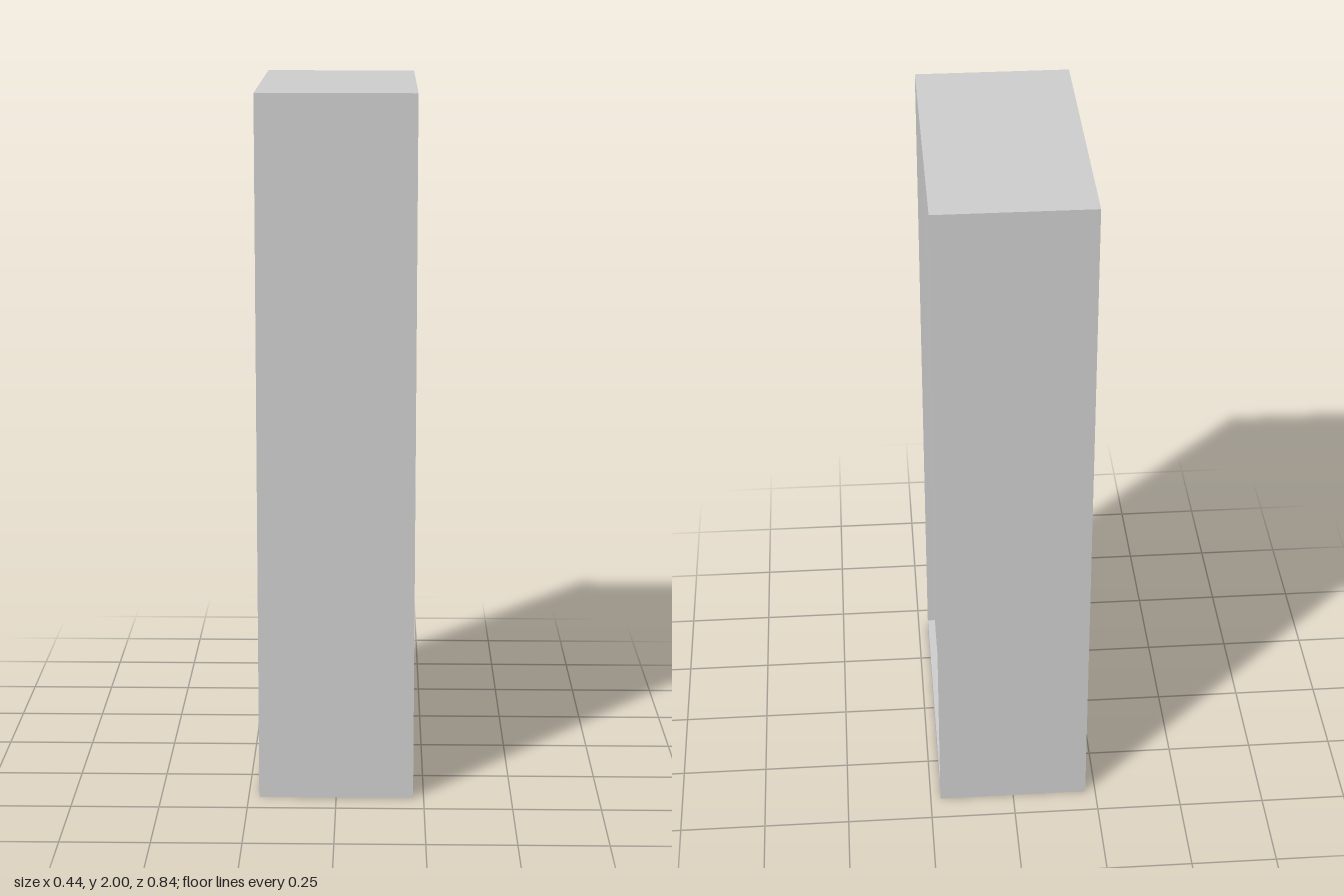
import * as THREE from 'three';

const W = 0.44, H = 2, D = 0.84;      // cabinet width (x), height, depth (z)
const BACK = 0.16, FACE = 0.198;      // x of the cabinet core face and of the door face
const material = new THREE.MeshStandardMaterial({ color: 0xcccccc });

// Closed rectangle in the door plane; u runs toward -z
function rect(Kind, u0, u1, y0, y1) {
  const s = new Kind();
  s.moveTo(u0, y0).lineTo(u1, y0).lineTo(u1, y1).lineTo(u0, y1).closePath();
  return s;
}

// Horizontal slot with rounded ends
function slot(halfLength, y, r) {
  const s = new THREE.Path();
  const c = halfLength - r;
  s.moveTo(-c, y - r).lineTo(c, y - r);
  s.absarc(c, y, r, -Math.PI / 2, Math.PI / 2, false);
  s.lineTo(-c, y + r);
  s.absarc(-c, y, r, Math.PI / 2, Math.PI * 1.5, false);
  return s;
}

// Extrude a door-plane shape from x0 to x1
function panel(name, shape, x0, x1) {
  const g = new THREE.ExtrudeGeometry(shape, { depth: x1 - x0, bevelEnabled: false, curveSegments: 6 });
  g.rotateY(Math.PI / 2).translate(x0, 0, 0);
  const m = new THREE.Mesh(g, material);
  m.name = name;
  return m;
}

export function createModel() {
  const group = new THREE.Group();
  group.name = 'locker';

  // Solid cabinet behind the door
  const coreWidth = BACK + W / 2;
  const body = new THREE.Mesh(new THREE.BoxGeometry(coreWidth, H, D), material);
  body.position.set(-W / 2 + coreWidth / 2, H / 2, 0);
  body.name = 'cabinet';
  group.add(body);

  // Rim standing proud around the door
  const rim = rect(THREE.Shape, -D / 2, D / 2, 0, H);
  rim.holes.push(rect(THREE.Path, -0.395, 0.395, 0.04, 1.963));
  group.add(panel('doorFrame', rim, BACK, W / 2));

  // Door with vent slots and a handle recess, leaving a thin gap at the bottom
  const pull = [-0.14, -0.088, 1.21, 1.45];
  const door = rect(THREE.Shape, -0.395, 0.395, 0.05, 1.963);
  for (let i = 0; i < 5; i++) door.holes.push(slot(0.075, 1.583 + i * 0.028, 0.007));
  door.holes.push(rect(THREE.Path, ...pull));
  group.add(panel('door', door, BACK, FACE));

  // Shallow floor of the handle recess
  group.add(panel('handleRecess', rect(THREE.Shape, ...pull), BACK, FACE - 0.012));

  return group;
}
